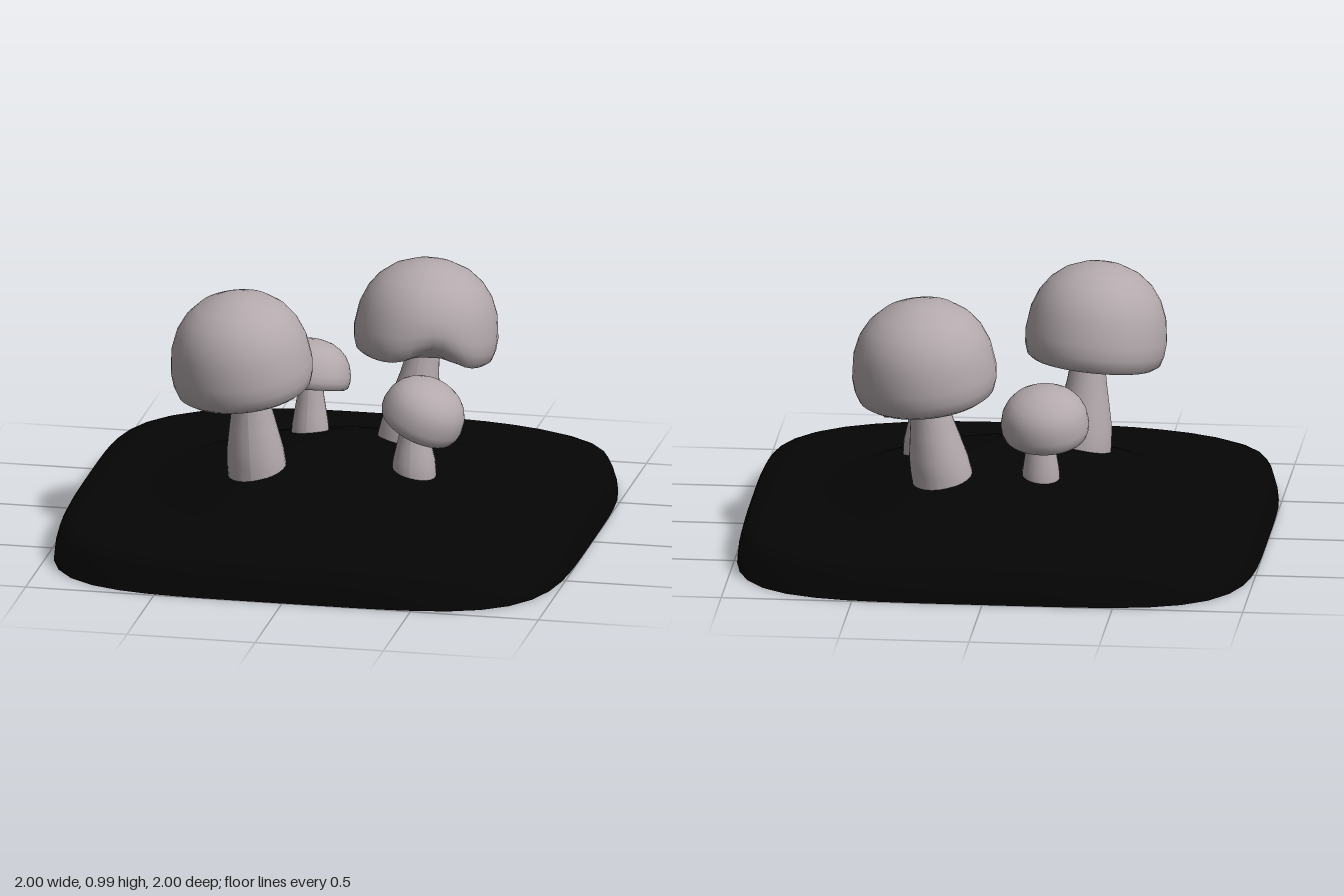
import * as THREE from 'three';

const capMaterial = new THREE.MeshStandardMaterial({ color: 0xb3a9ac });
capMaterial.name = 'pale mauve grey';
const groundMaterial = new THREE.MeshStandardMaterial({ color: 0x050505, side: THREE.DoubleSide });
groundMaterial.name = 'near black';

// Open shell built from rings: [radius, height, squareness exponent]
function createGround() {
  const rings = [
    [1, 0, 4.4], [0.995, 0.05, 4.4], [0.98, 0.11, 4.4], [0.965, 0.14, 4.4], [0.94, 0.153, 4.4],
    [0.88, 0.16, 4.2], [0.8, 0.163, 3.2], [0.71, 0.165, 2], [0.69, 0.17, 2], [0.6, 0.203, 2],
    [0.5, 0.238, 2], [0.4, 0.27, 2], [0.3, 0.293, 2], [0.2, 0.311, 2], [0.1, 0.323, 2], [0.001, 0.33, 2],
  ];
  const segments = 64, positions = [], index = [];
  rings.forEach(([size, y, n], j) => {
    for (let i = 0; i < segments; i++) {
      const t = (i / segments) * Math.PI * 2, c = Math.cos(t), s = Math.sin(t);
      const r = size * (Math.abs(c) ** n + Math.abs(s) ** n) ** (-1 / n);
      // The square corners droop slightly
      const droop = 1 - 0.045 * (n - 2) * Math.sin(2 * t) ** 4;
      positions.push(r * c, y * droop, r * s);
      if (j === 0) continue;
      const k = (i + 1) % segments, low = (j - 1) * segments, high = j * segments;
      index.push(low + i, high + i, low + k, high + i, high + k, low + k);
    }
  });
  const geometry = new THREE.BufferGeometry();
  geometry.setAttribute('position', new THREE.Float32BufferAttribute(positions, 3));
  geometry.setIndex(index);
  geometry.computeVertexNormals();
  const mesh = new THREE.Mesh(geometry, groundMaterial);
  mesh.name = 'ground';
  return mesh;
}

// Nearly flat sheet closing the mound from below
function createMoundUnderside() {
  const profile = [];
  for (let i = 0; i <= 8; i++) {
    const f = i / 8;
    profile.push(new THREE.Vector2(0.71 * f, 0.135 + 0.028 * f * f));
  }
  const mesh = new THREE.Mesh(new THREE.LatheGeometry(profile, 48), groundMaterial);
  mesh.name = 'moundUnderside';
  return mesh;
}

// Domed cap with a rounded rim and a nearly flat underside
function createCap({ cap, radius, height, tilt, dented }) {
  const profile = [
    [0, 0.06], [0.4, 0.05], [0.72, 0.015], [0.86, 0], [0.94, 0.04], [0.985, 0.14], [1, 0.27],
    [0.955, 0.5], [0.86, 0.67], [0.725, 0.8], [0.53, 0.91], [0.28, 0.98], [0.12, 0.997], [0, 1],
  ].map(([r, y]) => new THREE.Vector2(r * radius, y * height));
  const geometry = new THREE.LatheGeometry(profile, 40);
  if (dented) {
    // Push the front of the rim up and in
    const p = geometry.attributes.position;
    for (let i = 0; i < p.count; i++) {
      const x = p.getX(i), y = p.getY(i), z = p.getZ(i), r = Math.hypot(x, z);
      const turn = Math.atan2(x, z) - 0.35;
      const w = Math.exp(-((turn / 0.42) ** 2)) * Math.max(0, 1 - y / (0.5 * height))
        * THREE.MathUtils.smoothstep(r, 0.45 * radius, 0.9 * radius);
      p.setXYZ(i, x * (1 - 0.08 * w), y + 0.075 * w, z * (1 - 0.08 * w));
    }
    geometry.computeVertexNormals();
  }
  const mesh = new THREE.Mesh(geometry, capMaterial);
  mesh.name = 'cap';
  mesh.position.set(...cap);
  mesh.rotation.set(tilt[0], 0, tilt[1]);
  return mesh;
}

// Stem rooted in the mound that narrows and leans from foot to top
function createStem({ foot, top, footRadius, topRadius }) {
  const height = top[1] - foot[1], root = 0.138 - foot[1];
  const radiusAt = (f) => THREE.MathUtils.lerp(topRadius, footRadius, f);
  const profile = [
    [0, root], [footRadius * 0.97, root], [footRadius, 0], [footRadius, 0.1 * height],
    [radiusAt(0.92), 0.25 * height], [radiusAt(0.6), 0.48 * height],
    [radiusAt(0.25), 0.72 * height], [topRadius, height],
  ].map(([r, y]) => new THREE.Vector2(r, y));
  const geometry = new THREE.LatheGeometry(profile, 24);
  const p = geometry.attributes.position;
  for (let i = 0; i < p.count; i++) {
    const f = Math.max(0, p.getY(i) / height);
    p.setX(i, p.getX(i) + (top[0] - foot[0]) * f);
    p.setZ(i, p.getZ(i) + (top[2] - foot[2]) * f);
  }
  geometry.computeVertexNormals();
  const mesh = new THREE.Mesh(geometry, capMaterial);
  mesh.name = 'stem';
  mesh.position.set(...foot);
  return mesh;
}

const mushrooms = [
  {
    name: 'frontRightLargeMushroom',
    cap: [-0.302, 0.605, 0.257], radius: 0.272, height: 0.39, tilt: [0.11, 0.09],
    foot: [-0.26, 0.265, 0.22], top: [-0.285, 0.65, 0.255], footRadius: 0.113, topRadius: 0.062,
  },
  {
    name: 'backLeftLargeMushroom', dented: true,
    cap: [0.285, 0.612, -0.268], radius: 0.277, height: 0.38, tilt: [-0.12, -0.08],
    foot: [0.225, 0.265, -0.24], top: [0.29, 0.66, -0.262], footRadius: 0.118, topRadius: 0.06,
  },
  {
    name: 'backRightSmallMushroom',
    cap: [-0.168, 0.46, -0.245], radius: 0.169, height: 0.195, tilt: [-0.28, 0],
    foot: [-0.15, 0.265, -0.235], top: [-0.15, 0.5, -0.245], footRadius: 0.072, topRadius: 0.045,
  },
  {
    name: 'frontLeftSmallMushroom',
    cap: [0.345, 0.465, 0.128], radius: 0.162, height: 0.188, tilt: [0.15, -0.45],
    foot: [0.33, 0.265, 0.12], top: [0.33, 0.5, 0.125], footRadius: 0.084, topRadius: 0.045,
  },
];

export function createModel() {
  const model = new THREE.Group();
  model.name = 'mushroomPatch';
  model.add(createGround(), createMoundUnderside());
  for (const spec of mushrooms) {
    const mushroom = new THREE.Group();
    mushroom.name = spec.name;
    mushroom.add(createStem(spec), createCap(spec));
    model.add(mushroom);
  }
  return model;
}
